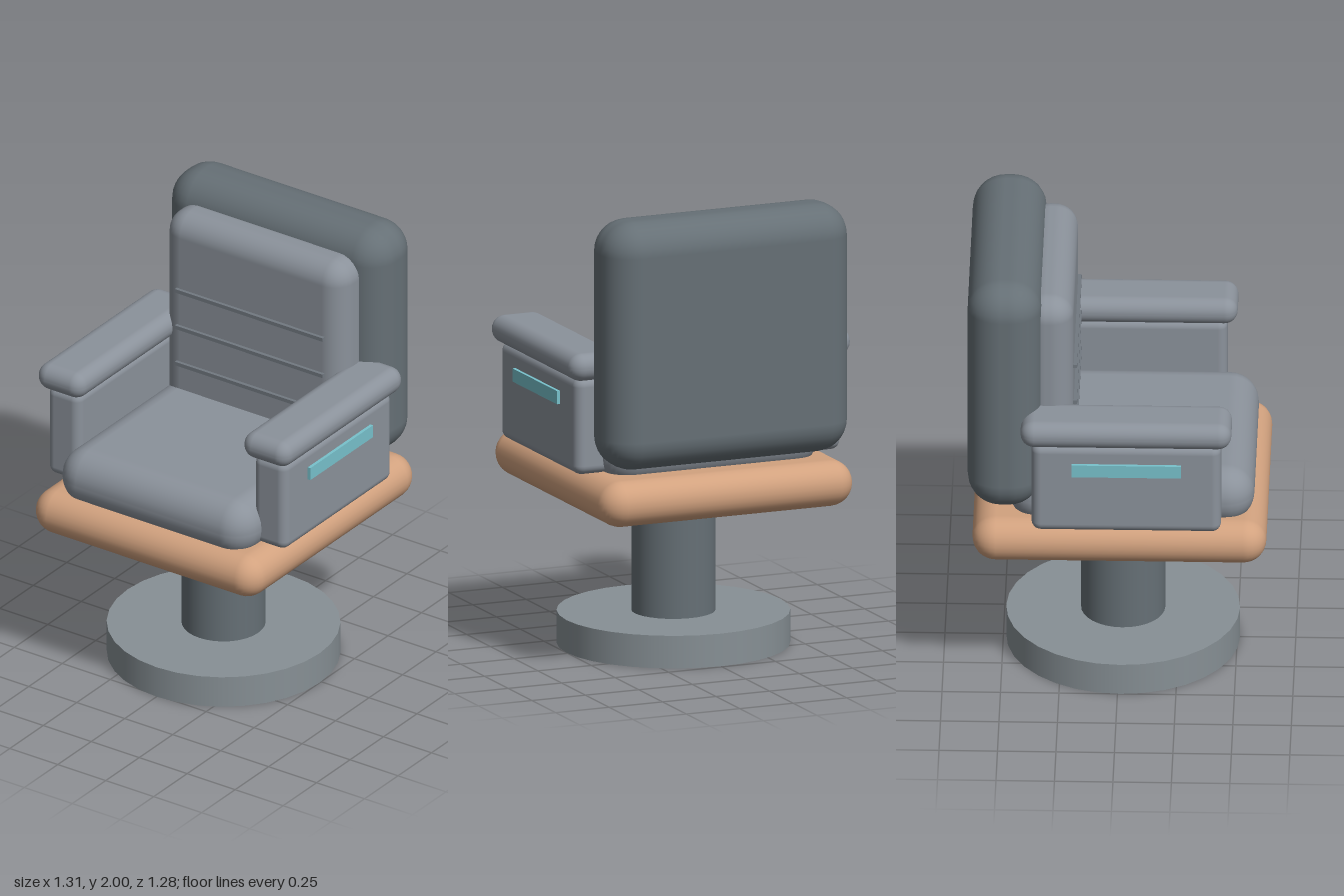
import * as THREE from 'three';
import { RoundedBoxGeometry } from 'three/addons/geometries/RoundedBoxGeometry.js';

export function createModel() {
  const group = new THREE.Group();
  const material = (name, color) => {
    const m = new THREE.MeshStandardMaterial({ color });
    m.name = name;
    return m;
  };
  const upholstery = material('grey upholstery', 0x8b929b);
  const shell = material('dark grey shell', 0x667076);
  const metal = material('base metal', 0x879095);
  const wood = material('tan wood', 0xd2a27f);
  const accent = material('teal accent', 0x78c2cc);
  const seam = material('seam grey', 0x727981);

  const add = (name, geometry, mat, x, y, z) => {
    const mesh = new THREE.Mesh(geometry, mat);
    mesh.name = name;
    mesh.position.set(x, y, z);
    group.add(mesh);
  };

  // Rounded box given by its extents on each axis
  const pad = (name, mat, [x0, x1], [y0, y1], [z0, z1], radius) =>
    add(name, new RoundedBoxGeometry(x1 - x0, y1 - y0, z1 - z0, 4, radius), mat,
      (x0 + x1) / 2, (y0 + y1) / 2, (z0 + z1) / 2);

  // Upright cylinder between two heights, on the pedestal axis
  const disc = (name, mat, radius, y0, y1, sides) =>
    add(name, new THREE.CylinderGeometry(radius, radius, y1 - y0, sides), mat,
      0, (y0 + y1) / 2, 0.012);

  // Pedestal
  disc('footDisc', metal, 0.5, 0, 0.143, 32);
  disc('column', shell, 0.18, 0.143, 0.64, 32);
  disc('collar', wood, 0.23, 0.632, 0.69, 32);

  // Seat
  pad('seatPan', wood, [-0.59, 0.59], [0.667, 0.868], [-0.62, 0.637], 0.1);
  pad('seatCushion', upholstery, [-0.5, 0.5], [0.81, 1.07], [-0.47, 0.583], 0.125);

  // Backrest
  pad('backShell', shell, [-0.57, 0.57], [0.91, 2], [-0.642, -0.325], 0.14);
  pad('backCushion', upholstery, [-0.47, 0.47], [0.95, 1.9], [-0.41, -0.19], 0.1);
  for (const y of [1.195, 1.372, 1.549])
    add('backSeam', new THREE.BoxGeometry(0.77, 0.017, 0.02), seam, 0, y, -0.185);

  // Arms, mirrored
  for (const s of [-1, 1]) {
    const side = s > 0 ? 'left' : 'right';
    const span = (a, b) => (s > 0 ? [a, b] : [-b, -a]);
    pad(side + 'ArmPanel', upholstery, span(0.453, 0.622), [0.865, 1.29], [-0.365, 0.445], 0.04);
    pad(side + 'Armrest', upholstery, span(0.415, 0.657), [1.282, 1.402], [-0.412, 0.49], 0.058);
    add(side + 'ArmStripe', new THREE.BoxGeometry(0.018, 0.058, 0.468), accent, s * 0.627, 1.176, 0.041);
  }
  return group;
}
